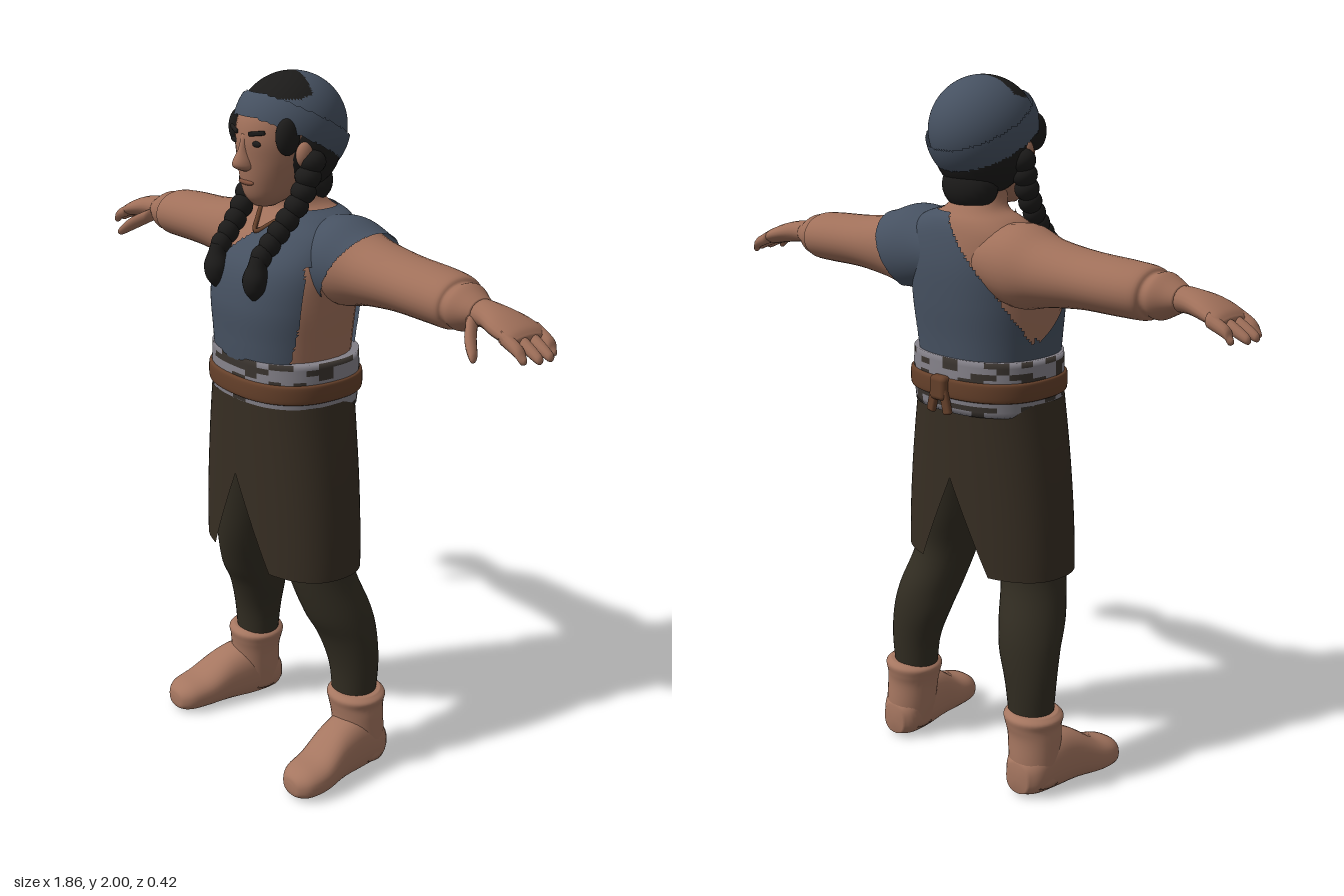
import * as THREE from 'three';
import { RoundedBoxGeometry } from 'three/addons/geometries/RoundedBoxGeometry.js';

const mat = (name, color, side = THREE.FrontSide) => {
  const m = new THREE.MeshStandardMaterial({ color, side });
  m.name = name;
  return m;
};

// Smooth body through elliptical cross-sections listed in ascending order along an axis.
// Row: [x, y, z, halfU, halfV]; (u,v) is (z,x) for axis y, (y,z) for axis x, (x,y) for axis z.
function loft(axis, rows, { n = 32, steps = 5, power = 2, grow = 0 } = {}) {
  const [u, v] = { y: ['z', 'x'], x: ['y', 'z'], z: ['x', 'y'] }[axis];
  const centres = new THREE.CatmullRomCurve3(rows.map(r => new THREE.Vector3(r[0], r[1], r[2])), false, 'catmullrom', 0.5);
  const sizes = new THREE.CatmullRomCurve3(rows.map(r => new THREE.Vector3(r[3], r[4], 0)), false, 'catmullrom', 0.5);
  const rings = (rows.length - 1) * steps, pos = [], index = [];
  const round = c => Math.sign(c) * Math.pow(Math.abs(c), 2 / power);
  for (let i = 0; i <= rings; i++) {
    const c = centres.getPoint(i / rings), s = sizes.getPoint(i / rings);
    for (let j = 0; j < n; j++) {
      const a = (j / n) * Math.PI * 2, p = c.clone();
      p[u] += (s.x + grow) * round(Math.cos(a));
      p[v] += (s.y + grow) * round(Math.sin(a));
      pos.push(p.x, Math.max(0, p.y), p.z);
    }
  }
  const id = (i, j) => i * n + (j % n);
  for (let i = 0; i < rings; i++) for (let j = 0; j < n; j++)
    index.push(id(i, j), id(i, j + 1), id(i + 1, j + 1), id(i, j), id(i + 1, j + 1), id(i + 1, j));
  // end caps
  const first = pos.length / 3;
  pos.push(...centres.getPoint(0).toArray(), ...centres.getPoint(1).toArray());
  for (let j = 0; j < n; j++)
    index.push(first, id(0, j + 1), id(0, j), first + 1, id(rings, j), id(rings, j + 1));
  const g = new THREE.BufferGeometry();
  g.setAttribute('position', new THREE.Float32BufferAttribute(pos, 3));
  g.setIndex(index);
  g.computeVertexNormals();
  return g;
}

// Keep only the triangles whose centre passes the test.
function keep(geometry, test) {
  const g = geometry.clone(), p = g.attributes.position, old = g.index.array, index = [];
  for (let t = 0; t < old.length; t += 3) {
    const f = [old[t], old[t + 1], old[t + 2]];
    const mid = get => (get(f[0]) + get(f[1]) + get(f[2])) / 3;
    if (test(mid(i => p.getX(i)), mid(i => p.getY(i)), mid(i => p.getZ(i)), Math.floor(t / 6))) index.push(...f);
  }
  g.setIndex(index);
  return g;
}

const ball = (x, y, z, rx, ry, rz, w = 20, h = 14) =>
  new THREE.SphereGeometry(1, w, h).scale(rx, ry, rz).translate(x, y, z);

export function createModel() {
  const model = new THREE.Group();
  const skin = mat('skin', 0xa0705a), boot = mat('boot leather', 0xa57660);
  const blue = mat('blue cloth', 0x465161, THREE.DoubleSide), skirt = mat('skirt cloth', 0x372e23, THREE.DoubleSide);
  const legging = mat('legging cloth', 0x322d22), hair = mat('hair', 0x1c1b1a, THREE.DoubleSide);
  const grey = mat('sash grey', 0x85828a, THREE.DoubleSide), dark = mat('sash dark', 0x3a342f, THREE.DoubleSide);
  const brown = mat('belt leather', 0x65402a), lip = mat('lips', 0x85543f);

  const add = (parent, name, geometry, material) => {
    const m = new THREE.Mesh(geometry, material);
    m.name = name;
    parent.add(m);
    return m;
  };

  // Torso and the one-shouldered vest over it
  const torsoRows = [
    [0, 1.2, 0, .165, .19], [0, 1.3, 0, .17, .2], [0, 1.4, -.003, .175, .21], [0, 1.5, -.015, .165, .213],
    [0, 1.58, -.04, .13, .2], [0, 1.625, -.055, .1, .15], [0, 1.65, -.05, .08, .09], [0, 1.69, -.03, .065, .068],
    [0, 1.75, -.02, .06, .065]];
  add(model, 'torso', loft('y', torsoRows, { power: 2.3 }), skin);
  const vest = loft('y', torsoRows, { n: 140, steps: 12, power: 2.3, grow: .01 });
  add(model, 'vest', keep(vest, (x, y, z) => {
    if (y < 1.225 || y > 1.645) return false;
    if (x > .1 && y < 1.52 && Math.abs(z + .02) < .13 - (y - 1.25) * .12) return false;
    const dip = x < -.15 ? .11 * Math.max(0, 1 - Math.abs(z + .02) / .13) : 0;
    const front = 1.42 + (x + .2) * .85, back = 1.64 + x * 1.2;
    return y < (z > -.04 ? front : back) - dip;
  }), blue);

  // Arms, hands, legs and boots, mirrored
  const armRows = [
    [.08, 1.52, -.065, .09, .1], [.2, 1.515, -.065, .114, .115], [.3, 1.51, -.07, .091, .1], [.42, 1.508, -.07, .076, .092],
    [.55, 1.505, -.07, .072, .09], [.62, 1.502, -.067, .068, .084], [.637, 1.5, -.064, .056, .07],
    [.66, 1.5, -.062, .06, .07], [.69, 1.5, -.06, .046, .055], [.715, 1.5, -.06, .033, .042]];
  for (const side of [1, -1]) {
    const half = new THREE.Group();
    half.name = side > 0 ? 'leftLimbs' : 'rightLimbs';
    half.scale.x = side;
    model.add(half);
    add(half, 'arm', loft('x', armRows), skin);
    add(half, 'palm', loft('x', [[.68, 1.5, -.06, .034, .04], [.74, 1.5, -.06, .032, .045], [.8, 1.49, -.06, .03, .064],
      [.85, 1.475, -.065, .024, .068], [.87, 1.465, -.065, .014, .058]], { n: 20 }), skin);
    [[-.118, .905], [-.083, .928], [-.047, .928], [-.013, .91]].forEach(([z, tip]) =>
      add(half, 'finger', loft('x', [[.835, 1.477, z, .019, .017], [.885, 1.455, z, .016, .016],
        [tip - .008, 1.438, z, .012, .012], [tip, 1.434, z, .005, .005]], { n: 12, steps: 4 }), skin));
    add(half, 'thumb', loft('x', [[.71, 1.485, -.03, .02, .022], [.755, 1.455, .015, .021, .02],
      [.79, 1.428, .038, .014, .014], [.8, 1.42, .045, .005, .005]], { n: 12, steps: 4 }), skin);

    add(half, 'legging', loft('y', [[.24, .2, -.075, .06, .065], [.237, .32, -.075, .07, .076], [.22, .42, -.062, .085, .09],
      [.205, .5, -.036, .1, .092], [.175, .62, 0, .1, .09], [.15, .75, 0, .115, .1], [.11, .95, 0, .12, .1]]), legging);
    add(half, 'bootShaft', loft('y', [[.265, .03, -.083, .068, .07], [.26, .1, -.08, .074, .076], [.255, .17, -.076, .075, .08],
      [.25, .205, -.076, .08, .083], [.25, .23, -.076, .083, .088], [.25, .245, -.076, .068, .07]]), boot);
    add(half, 'bootFoot', loft('z', [[.26, .055, -.157, .04, .045], [.262, .07, -.12, .068, .07], [.268, .085, -.05, .073, .09],
      [.28, .078, .03, .071, .08], [.295, .052, .11, .073, .054], [.3, .043, .17, .064, .044], [.3, .038, .2, .04, .03],
      [.3, .035, .207, .015, .012]], { power: 2.4 }), boot);

    // Half of the skirt, cut away toward the middle below the slit
    const panel = new THREE.PlaneGeometry(1, 1, 32, 24), p = panel.attributes.position;
    for (let i = 0; i < p.count; i++) {
      const t = p.getY(i) + .5, y = .63 + t * .5;
      const rx = .278 - .062 * Math.pow(t, 1.7), rz = .16 + .012 * t;
      const slit = Math.max(0, (.9 - y) / .27) * .132;
      const start = Math.asin(Math.pow(slit / rx, 1.2));
      const a = start + (p.getX(i) + .5) * (Math.PI - 2 * start);
      const soft = c => Math.sign(c) * Math.pow(Math.abs(c), 1 / 1.2);
      p.setXYZ(i, rx * soft(Math.sin(a)), y, .006 + rz * soft(Math.cos(a)));
    }
    panel.computeVertexNormals();
    add(half, 'skirtPanel', panel, skirt);

    // Eye, brow, temple hair
    add(half, 'eye', ball(.046, 1.828, .126, .019, .008, .006), hair);
    const brow = add(half, 'brow', new RoundedBoxGeometry(.052, .012, .009, 2, .004), hair);
    brow.position.set(.05, 1.856, .127);
    brow.rotation.set(0, .35, .15);
    add(half, 'ear', ball(.115, 1.8, .02, .02, .035, .025), skin);
    add(half, 'templeHair', ball(.105, 1.85, .068, .026, .05, .035), hair);

    // Braid: overlapping knots along a curve, ending in a tuft
    const path = new THREE.CatmullRomCurve3([[.122, 1.78, .0], [.115, 1.69, .03], [.1, 1.61, .085], [.092, 1.54, .145]]
      .map(q => new THREE.Vector3(...q)));
    for (let i = 0; i < 8; i++) {
      const q = path.getPoint(i / 7), r = .037 - .0012 * i;
      add(half, 'braidKnot', ball(q.x, q.y, q.z, r, .033, r, 14, 10), hair);
    }
    add(half, 'braidTuft', loft('y', [[.088, 1.425, .165, .008, .008], [.089, 1.45, .165, .027, .03], [.09, 1.485, .164, .033, .036],
      [.092, 1.52, .158, .025, .026], [.092, 1.545, .15, .024, .024]], { n: 16 }), hair);
  }

  // Vest flap over the left shoulder
  add(model, 'shoulderFlap', keep(loft('x', armRows, { n: 120, steps: 24, grow: .012 }),
    (x, y) => y > 1.42 && x < .2 + (y - 1.42) * .55), blue);

  // Patterned sash, belt and knot at the back
  const sash = loft('y', [[0, 1.1, -.002, .177, .212], [0, 1.175, -.003, .182, .217], [0, 1.255, -.003, .18, .215]],
    { n: 64, steps: 5, power: 2.4 });
  const isDark = q => q < 640 && Math.abs(Math.sin((Math.floor(q / 2) + 1) * 12.9898) * 43758.5453) % 1 < .38;
  add(model, 'sash', keep(sash, (x, y, z, q) => !isDark(q)), grey);
  add(model, 'sashPattern', keep(sash, (x, y, z, q) => isDark(q)), dark);
  add(model, 'belt', loft('y', [[0, 1.142, -.003, .182, .217], [0, 1.15, -.003, .19, .224], [0, 1.19, -.003, .19, .224],
    [0, 1.198, -.003, .182, .217]], { n: 64, power: 2.4 }), brown);
  add(model, 'beltKnot', new RoundedBoxGeometry(.06, .07, .035, 3, .014).translate(0, 1.17, -.194), brown);
  for (const s of [-1, 1])
    add(model, 'beltEnd', new RoundedBoxGeometry(.028, .075, .018, 2, .007).rotateZ(s * .25).translate(s * .024, 1.135, -.197), brown);

  // Head, nose, mouth, necklace
  add(model, 'head', loft('y', [[0, 1.655, .065, .03, .03], [0, 1.68, .05, .068, .06], [0, 1.72, .025, .105, .083],
    [0, 1.78, .015, .12, .104], [0, 1.84, .01, .127, .114], [0, 1.9, 0, .12, .112], [0, 1.955, -.01, .08, .08],
    [0, 1.975, -.01, .04, .04]]), skin);
  add(model, 'nose', loft('y', [[0, 1.752, .122, .015, .014], [0, 1.762, .128, .032, .027], [0, 1.778, .13, .036, .025],
    [0, 1.81, .128, .021, .014], [0, 1.85, .124, .012, .012]], { n: 16 }), skin);
  add(model, 'mouth', ball(0, 1.722, .126, .032, .008, .008), lip);
  add(model, 'necklace', new THREE.TubeGeometry(new THREE.CatmullRomCurve3([[-.08, 1.645, .01], [-.04, 1.615, .058],
    [0, 1.585, .096], [.04, 1.615, .058], [.08, 1.645, .01]].map(q => new THREE.Vector3(...q))), 24, .007, 6), brown);

  // Hair and the head wrap, open over the front of the crown
  add(model, 'hair', ball(0, 1.81, -.032, .138, .13, .122, 32, 20), hair);
  add(model, 'napeHair', ball(0, 1.71, -.075, .09, .07, .06), hair);
  const wrap = grow => {
    const g = new THREE.SphereGeometry(1, 96, 72);
    return g.scale(.141 + grow, .145 + grow, .153 + grow).translate(0, 1.855, -.026);
  };
  const rim = (y, z) => y - (1.833 + .52 * z);
  const crown = (x, y, z) => y > 1.94 && z > -.035 + Math.abs(x) * .2 && Math.abs(x) < .105;
  add(model, 'headWrap', keep(wrap(0), (x, y, z) => rim(y, z) > 0 && !crown(x, y, z)), blue);
  add(model, 'crownHair', keep(wrap(0), crown), hair);
  add(model, 'headBand', keep(wrap(.009), (x, y, z) => rim(y, z) > -.004 && rim(y, z) < .072), blue);
  return model;
}
